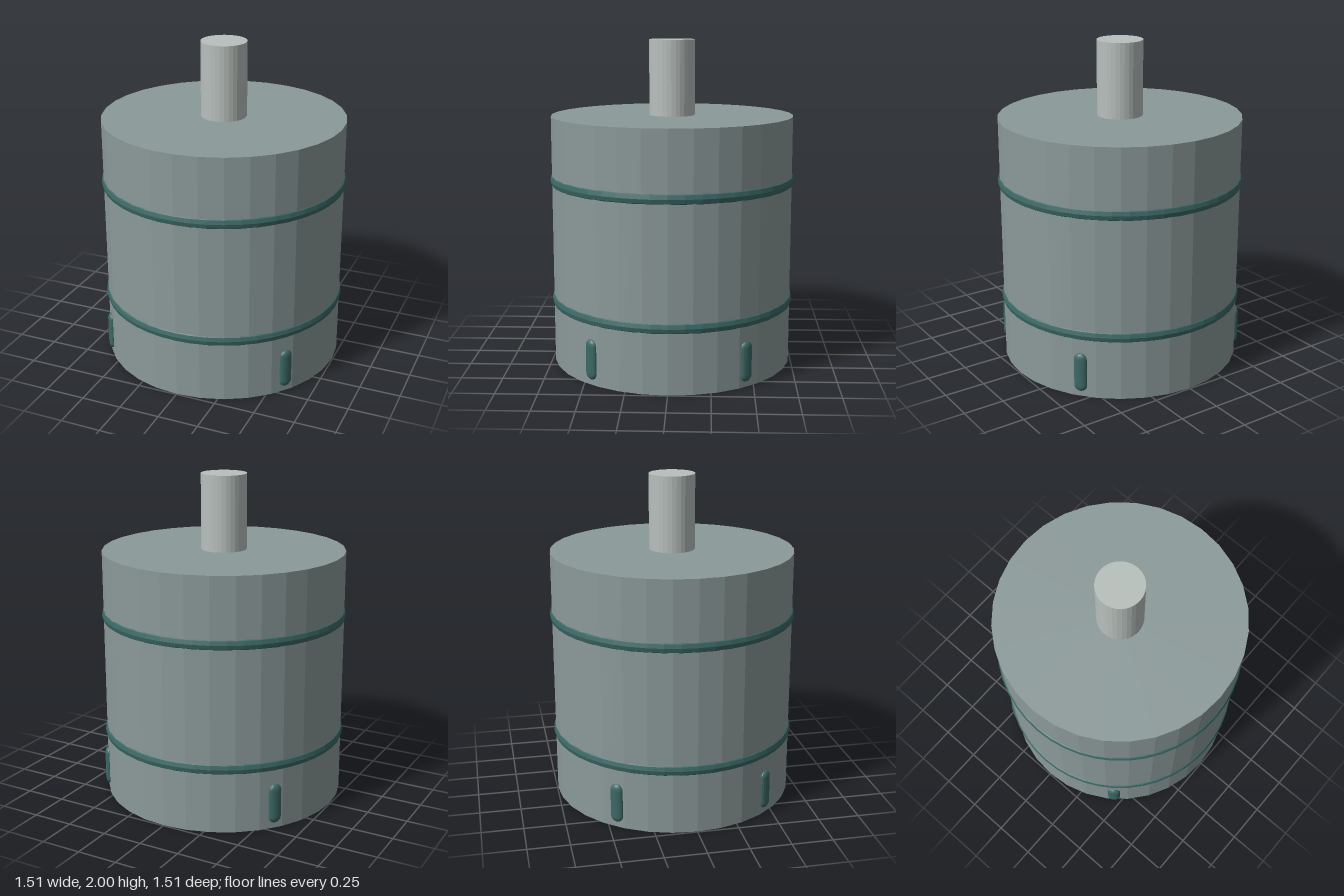
import * as THREE from 'three';

const material = (name, color, flat = true) => {
  const m = new THREE.MeshStandardMaterial({ color, flatShading: flat });
  m.name = name;
  return m;
};

export function createModel() {
  const group = new THREE.Group();
  const bodyGrey = material('body grey', 0x8c9a9a);
  const shaftGrey = material('pale metal', 0xb8c0bc);
  const teal = material('dark teal', 0x3c6966);

  const add = (name, geometry, mat, x, y, z) => {
    const mesh = new THREE.Mesh(geometry, mat);
    mesh.name = name;
    mesh.position.set(x, y, z);
    group.add(mesh);
    return mesh;
  };

  // Drum standing on the ground, with the shaft on its top
  add('body', new THREE.CylinderGeometry(0.745, 0.745, 1.54, 32), bodyGrey, 0, 0.77, 0);
  add('shaft', new THREE.CylinderGeometry(0.14, 0.14, 0.46, 32), shaftGrey, 0, 1.77, 0);

  // Two flattened bands around the drum
  const bandGeometry = new THREE.TorusGeometry(0.735, 0.02, 8, 48)
    .rotateX(Math.PI / 2)
    .scale(1, 1.75, 1);
  add('lowerBand', bandGeometry, teal, 0, 0.397, 0);
  add('upperBand', bandGeometry, teal, 0, 1.145, 0);

  // Four flattened upright pills low on the drum wall
  const pillGeometry = new THREE.CapsuleGeometry(0.04, 0.165, 6, 16).scale(1, 1, 0.55);
  for (const sx of [-1, 1]) {
    for (const sz of [-1, 1]) {
      const x = sx * 0.588, z = sz * 0.453;
      const pill = add('wallPill', pillGeometry, teal, x, 0.157, z);
      pill.rotation.y = Math.atan2(x, z);
    }
  }
  return group;
}
